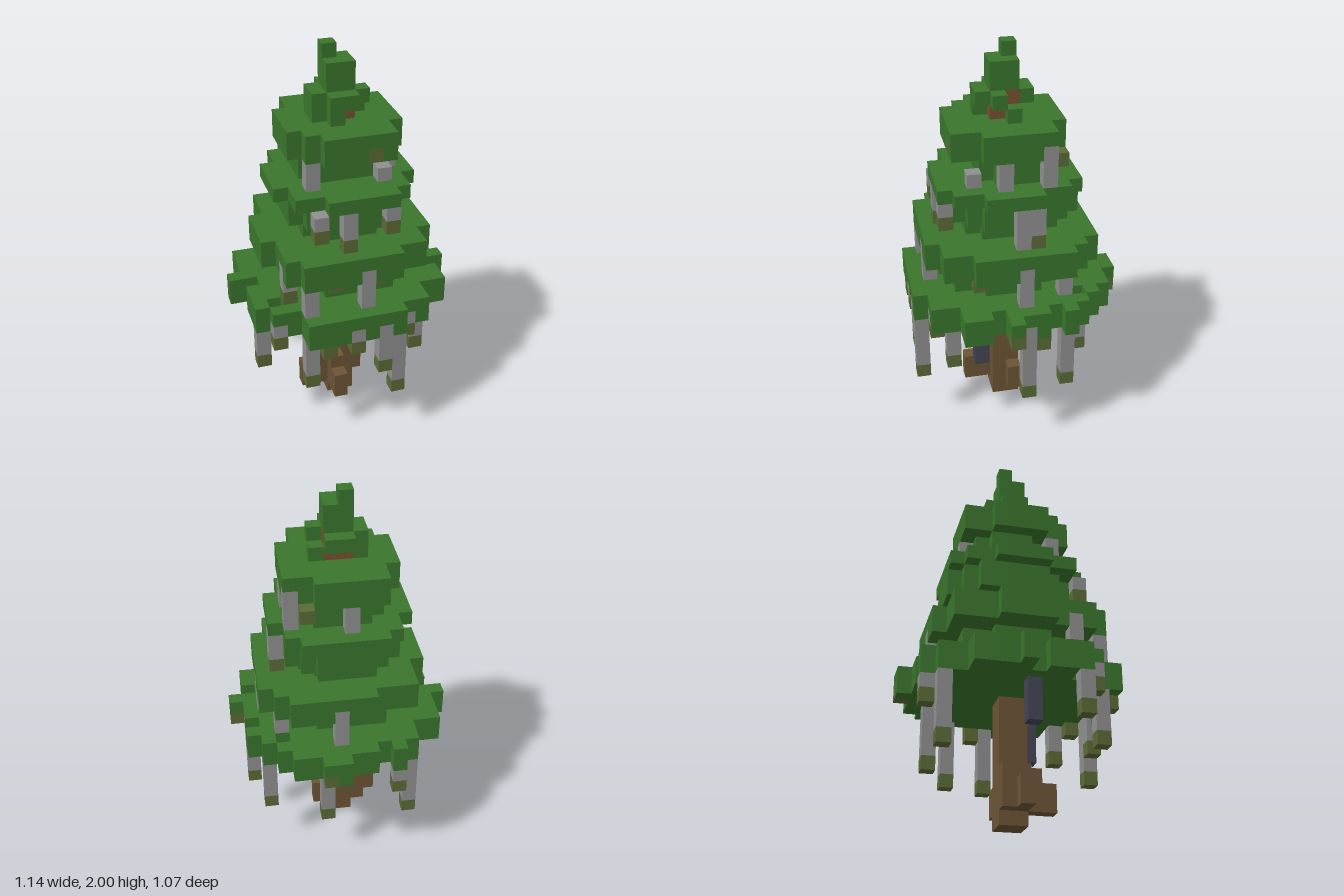
import * as THREE from 'three';

const V = 2 / 28; // edge of one cube

export function createModel() {
  const mat = (name, color) => {
    const m = new THREE.MeshStandardMaterial({ color });
    m.name = name;
    return m;
  };
  const green = mat('needle green', 0x39752c);
  const brown = mat('bark brown', 0x6c5435);
  const grey = mat('hanging grey', 0x8f8f8f);
  const olive = mat('tip olive', 0x5a6a36);
  const slate = mat('dark slate', 0x444455);
  const rust = mat('twig brown', 0x784f30);

  // cubes by grid cell; later parts replace earlier ones
  const cells = new Map();
  const key = (x, y, z) => `${x},${y},${z}`;
  const fill = (part, material, x0, x1, y0, y1, z0, z1) => {
    for (let x = x0; x < x1; x++)
      for (let y = y0; y < y1; y++)
        for (let z = z0; z < z1; z++) cells.set(key(x, y, z), { part, material, x, y, z });
  };

  // ragged oval layer of foliage, half sizes rx and rz around z = cz
  const tier = (part, y0, y1, rx, rz, cz) => {
    for (let z = cz - rz + 0.5; z < cz + rz; z++)
      for (let x = -rx; x < rx; x++) {
        const reach = ((x + 0.5) / rx) ** 2 + ((z - cz) / rz) ** 2;
        if (reach < 1.1 + 0.12 * Math.sin(7 * x + 5 * z))
          fill(part, green, x, x + 1, y0, y1, z, z + 1);
      }
  };

  // strands hanging from height top, each [x, z, length]; those up to tipMax long have a tip
  const hang = (top, tipMax, strands) => {
    for (const [x, z, length] of strands) {
      fill('hangingStrands', grey, x, x + 1, top - length, top, z, z + 1);
      if (length <= tipMax)
        fill('strandTips', olive, x, x + 1, top - length, top - length + 1, z, z + 1);
    }
  };

  // trunk and roots
  fill('trunk', brown, -1, 1, 0, 9, 0, 2);
  fill('roots', brown, -2, -1, 1, 4, 0, 2);
  fill('roots', brown, -3, -2, 1, 3, 1, 2);
  fill('roots', brown, 1, 2, 1, 3, 0, 1);
  fill('roots', brown, -1, 0, 1, 4, 2, 3);
  fill('roots', brown, -1, 0, 1, 3, 3, 4);

  // widest tier: left and right end of each row, back to front
  [[0, 2], [-2, 4], [-5, 5], [-5, 4], [-7, 7], [-7, 6], [-7, 7], [-8, 7],
    [-6, 8], [-7, 6], [-7, 7], [-5, 7], [-6, 5], [-4, 5], [-4, 3]]
    .forEach(([x0, x1], r) => fill('firstTier', green, x0, x1, 9, 11, r - 7, r - 6));
  for (const [x, z] of [[-4, -6], [5, -4], [-7, 4]])
    fill('firstTier', green, x, x + 1, 9, 11, z, z + 1);

  // narrower tiers and the necks between them
  tier('firstNeck', 11, 13, 4, 4, 0.5);
  tier('secondTier', 13, 15, 6, 6, 0.5);
  tier('secondNeck', 15, 16, 3, 3, 0.5);
  tier('thirdTier', 16, 18, 4, 4.5, 0);
  tier('thirdTier', 18, 19, 5, 5, 0.5);
  tier('thirdNeck', 19, 21, 3, 2.5, 0);
  tier('fourthTier', 21, 23, 4, 4, 0.5);
  fill('fourthTier', green, 3, 4, 22, 23, -2, -1);

  // crown: brown core showing through gaps in the needles
  fill('crownCore', rust, -1, 1, 23, 25, 0, 2);
  fill('crownBase', green, -2, -1, 23, 25, 0, 2);
  fill('crownBase', green, -1, 0, 23, 25, 2, 3);
  fill('crownBase', green, 0, 1, 24, 25, 2, 3);
  fill('crownBase', green, 1, 2, 23, 24, 0, 1);
  fill('crownBase', green, 1, 2, 24, 25, 1, 2);
  fill('crownBase', green, -1, 1, 24, 25, -1, 0);
  fill('crown', green, -1, 1, 25, 27, 0, 2);
  fill('crownTip', green, -1, 0, 27, 28, 0, 1);

  // strands below each tier
  hang(9, 5, [[2, 7, 5], [1, -5, 5], [5, -3, 5], [-5, -5, 5], [-4, 6, 4],
    [-7, 4, 3], [4, 5, 3], [-4, -6, 2], [-3, 7, 1], [6, -1, 1]]);
  hang(10, 6, [[6, 0, 6], [1, 7, 4], [-6, 5, 2], [-1, 7, 2], [3, 6, 2], [7, 1, 1], [1, -7, 1]]);
  hang(14, 2, [[0, 6, 3], [5, 0, 3], [0, -5, 3], [4, -3, 3], [1, 5, 2], [-2, 5, 2], [4, 3, 2]]);
  hang(14, 3, [[-5, 4, 3]]);
  hang(13, 0, [[-4, 6, 2]]);
  hang(18, 3, [[-3, 5, 2], [2, 5, 2], [-1, 5, 3], [4, -1, 3]]);
  hang(18, 0, [[4, 0, 3]]);
  hang(22, 1, [[3, -2, 3], [1, 4, 1]]);
  hang(21, 1, [[-3, 3, 2], [3, 1, 2], [-1, -3, 2], [2, -3, 1]]);
  hang(20, 0, [[2, 3, 1]]);
  fill('darkStrands', slate, -5, -4, 6, 9, 1, 2);
  fill('darkStrands', slate, 4, 5, 6, 9, 3, 4);

  // outer faces of the cubes, gathered per part
  const sides = [[1, 0, 0], [-1, 0, 0], [0, 1, 0], [0, -1, 0], [0, 0, 1], [0, 0, -1]];
  const corners = [[-1, -1], [1, -1], [1, 1], [-1, -1], [1, 1], [-1, 1]];
  const parts = new Map();
  for (const c of cells.values()) {
    if (!parts.has(c.part)) parts.set(c.part, { material: c.material, pos: [], nor: [] });
    const { pos, nor } = parts.get(c.part);
    const centre = new THREE.Vector3(c.x + 0.5, c.y + 0.5, c.z);
    for (const s of sides) {
      if (cells.has(key(c.x + s[0], c.y + s[1], c.z + s[2]))) continue;
      const n = new THREE.Vector3(...s);
      const u = new THREE.Vector3(s[1], s[2], s[0]);
      const w = n.clone().cross(u);
      for (const [a, b] of corners) {
        const p = centre.clone().addScaledVector(n, 0.5)
          .addScaledVector(u, a / 2).addScaledVector(w, b / 2).multiplyScalar(V);
        pos.push(p.x, p.y, p.z);
        nor.push(...s);
      }
    }
  }

  const group = new THREE.Group();
  group.name = 'tree';
  for (const [name, { material, pos, nor }] of parts) {
    const g = new THREE.BufferGeometry();
    g.setAttribute('position', new THREE.Float32BufferAttribute(pos, 3));
    g.setAttribute('normal', new THREE.Float32BufferAttribute(nor, 3));
    const mesh = new THREE.Mesh(g, material);
    mesh.name = name;
    group.add(mesh);
  }
  return group;
}
